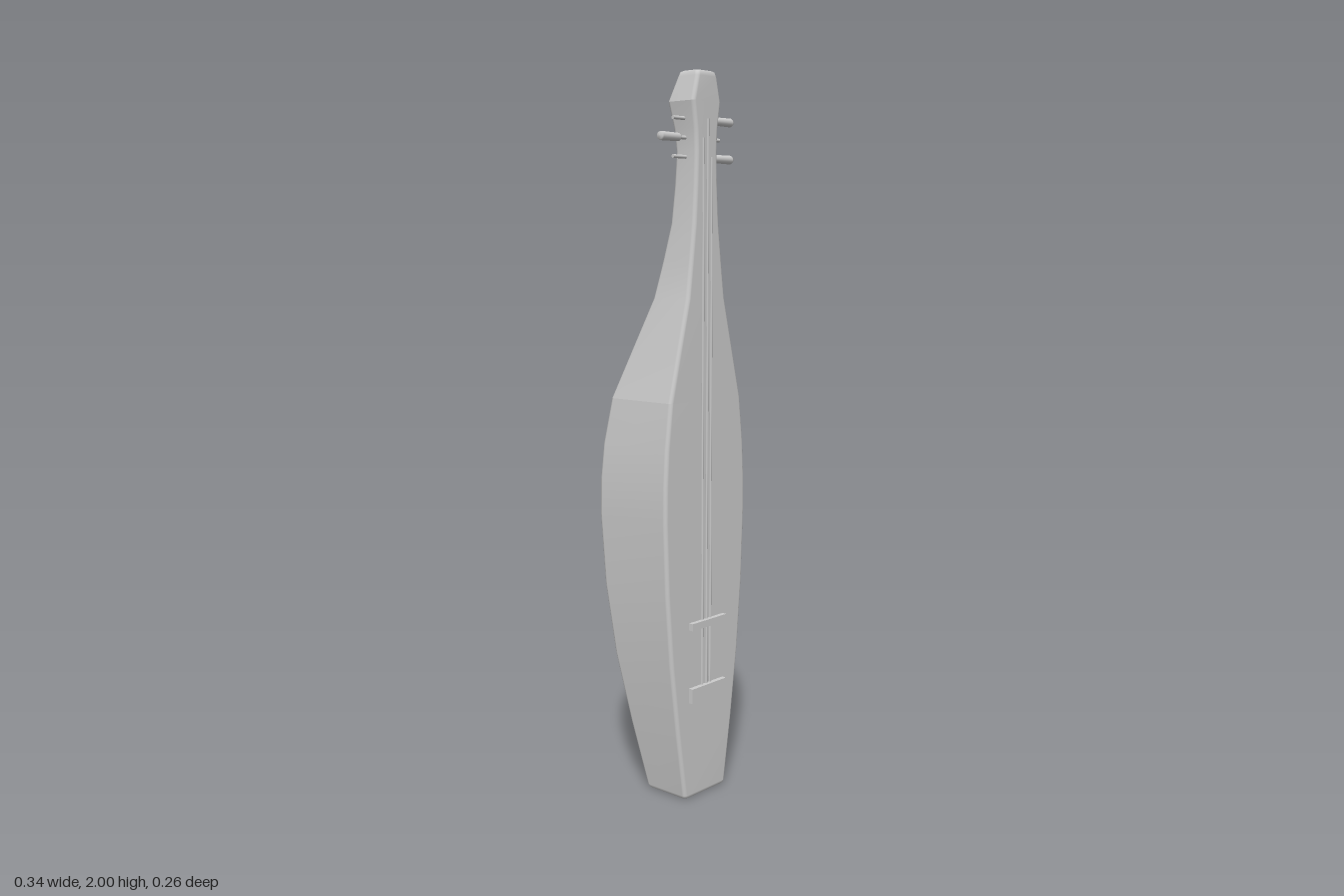
import * as THREE from 'three';

const material = new THREE.MeshStandardMaterial({ color: 0xcccccc, side: THREE.DoubleSide });
const FRONT = 0.117;

function add(parent, name, geometry, x = 0, y = 0, z = 0) {
  const mesh = new THREE.Mesh(geometry, material);
  mesh.name = name;
  mesh.position.set(x, y, z);
  parent.add(mesh);
  return mesh;
}

// Skin over rounded rectangles; each station is [y, halfWidth, backZ, frontZ]
function loft(stations, radius = 0.011) {
  const pos = [], index = [], steps = 4, n = 4 * (steps + 1);
  for (const [y, w, back, front = FRONT] of stations) {
    const cz = (front + back) / 2, d = (front - back) / 2;
    const r = Math.min(radius, w, d);
    for (let q = 0; q < 4; q++) {
      const sx = q === 0 || q === 3 ? 1 : -1, sz = q < 2 ? 1 : -1;
      for (let s = 0; s <= steps; s++) {
        const a = (q + s / steps) * Math.PI / 2;
        pos.push(sx * (w - r) + r * Math.cos(a), y, cz + sz * (d - r) + r * Math.sin(a));
      }
    }
  }
  for (let k = 0; k < stations.length - 1; k++) {
    for (let i = 0; i < n; i++) {
      const a = k * n + i, b = k * n + (i + 1) % n;
      index.push(a, a + n, b, b, a + n, b + n);
    }
  }
  const g = new THREE.BufferGeometry();
  g.setAttribute('position', new THREE.Float32BufferAttribute(pos, 3));
  g.setIndex(index);
  g.computeVertexNormals();
  return g;
}

export function createModel() {
  const model = new THREE.Group();
  model.name = 'bowedLute';

  // Body, neck and head: separate skins keep the creases between them
  const shoulder = [1.125, 0.146, -0.107], brow = [1.92, 0.057, 0.023];
  add(model, 'body', loft([
    [0, 0.078, -0.02, 0.108], [0.003, 0.084, -0.025, 0.114], [0.012, 0.088, -0.03],
    [0.2, 0.117, -0.066], [0.4, 0.143, -0.101], [0.6, 0.16, -0.123],
    [0.8, 0.168, -0.133], [0.9, 0.167, -0.132], [1.0, 0.161, -0.125], shoulder,
  ]));
  add(model, 'neck', loft([
    shoulder, [1.4, 0.077, -0.012], [1.5, 0.064, 0.01], [1.6, 0.052, 0.029],
    [1.7, 0.046, 0.036], [1.79, 0.043, 0.04], [1.85, 0.046, 0.034], brow,
  ]));
  add(model, 'head', loft([
    brow, [1.985, 0.041, 0.043], [1.997, 0.037, 0.047, 0.114], [2, 0.031, 0.053, 0.108],
  ]));
  add(model, 'headTop', loft([[2, 0.031, 0.053, 0.108], [2, 0, 0.08, 0.08]]));
  add(model, 'bodyBottom', loft([[0, 0, 0.044, 0.044], [0, 0.078, -0.02, 0.108]]));

  // Bridge and tailpiece on the soundboard
  add(model, 'bridge', new THREE.BoxGeometry(0.144, 0.02, 0.018), 0, 0.5, 0.122);
  add(model, 'tailpiece', new THREE.BoxGeometry(0.144, 0.042, 0.018), 0, 0.302, 0.122);

  // Strings and their pegs: [string x, peg y, peg side]
  for (const [x, y, side] of [[0, 1.875, 1], [-0.018, 1.825, -1], [0.016, 1.775, 1]]) {
    const length = y - 0.31;
    add(model, 'string', new THREE.CylinderGeometry(0.0035, 0.0035, length, 8), x, 0.31 + length / 2, 0.118);

    const peg = new THREE.Group();
    peg.name = 'peg';
    peg.position.set(0, y, 0.077);
    peg.rotation.z = -side * Math.PI / 2;
    add(peg, 'pegShaft', new THREE.CylinderGeometry(0.005, 0.005, 0.18, 12), 0, -0.004, 0);
    const profile = [[0, 0.07], [0.009, 0.07], [0.011, 0.073], [0.012, 0.14], [0.01, 0.145], [0, 0.146]];
    add(peg, 'pegHandle', new THREE.LatheGeometry(profile.map(p => new THREE.Vector2(...p)), 16));
    model.add(peg);
  }
  return model;
}
